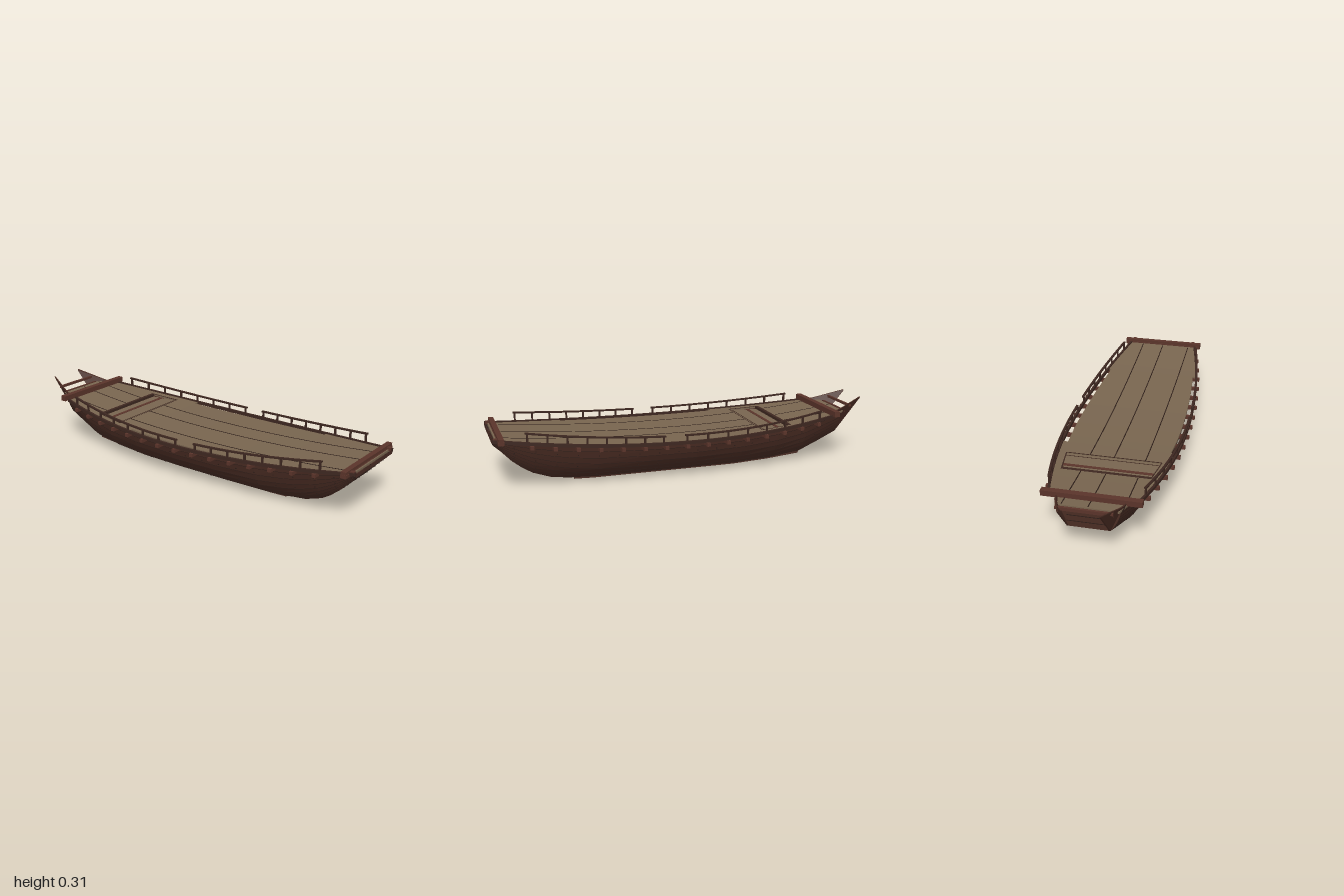
import * as THREE from 'three';
import { mergeGeometries } from 'three/addons/utils/BufferGeometryUtils.js';

const mat = (name, color) => {
  const m = new THREE.MeshStandardMaterial({ color, side: THREE.DoubleSide });
  m.name = name;
  return m;
};

// Curves of the ship along z
const sheer = (z) => 0.2 + (z > 0 ? 0.055 : 0.07) * z * z;
const hullHalf = (z) => 0.275 - (z > 0 ? 0.09 : 0.17) * z * z;
const railHalf = (z) => 0.305 - (z > 0 ? 0.12 : 0.165) * z * z;

// Bottom stations: z, half width, height
const stations = [
  [1, 0.18, 0.235], [0.96, 0.168, 0.195], [0.91, 0.155, 0.14], [0.86, 0.142, 0.098],
  [0.81, 0.132, 0.065], [0.715, 0.118, 0.028], [0.62, 0.11, 0.014], [0.5, 0.107, 0.01],
  [0.25, 0.107, 0.01], [0, 0.107, 0.01], [-0.25, 0.107, 0.01], [-0.45, 0.107, 0.02],
  [-0.63, 0.105, 0.036], [-0.75, 0.102, 0.085], [-0.85, 0.1, 0.13],
];
const stationZ = stations.map((s) => s[0]);
function bottom(z) {
  let i = 0;
  while (i < stations.length - 2 && stations[i + 1][0] > z) i++;
  const [a, b] = [stations[i], stations[i + 1]];
  const t = (a[0] - z) / (a[0] - b[0]);
  return [a[1] + (b[1] - a[1]) * t, a[2] + (b[2] - a[2]) * t];
}

// Point on the left hull side, t from 0 (bottom) to 1 (top)
function hullPoint(z, t) {
  const [b, yb] = bottom(z);
  const w = hullHalf(z), yt = sheer(z) - 0.002;
  const k = 0.85 - 1.3 * Math.max(0, Math.abs(z) - 0.5);
  const a = t * Math.PI / 2;
  const fx = k * Math.sin(a) + (1 - k) * t, fy = k * (1 - Math.cos(a)) + (1 - k) * t;
  return [b + (w - b) * fx, yb + (yt - yb) * fy];
}

const range = (a, b, n) => Array.from({ length: n + 1 }, (_, i) => a + (b - a) * i / n);

// Skin through rings of [x, y] at falling z; rings run anticlockwise seen from +z
function loft(zs, ring, closed = true) {
  const pos = [], idx = [];
  const rings = zs.map(ring), n = rings[0].length;
  rings.forEach((r, i) => r.forEach(([x, y]) => pos.push(x, y, zs[i])));
  for (let i = 0; i < zs.length - 1; i++)
    for (let j = 0; j < (closed ? n : n - 1); j++) {
      const a = i * n + j, b = i * n + (j + 1) % n;
      idx.push(a, a + n, b + n, a, b + n, b);
    }
  const e = (zs.length - 1) * n;
  for (let j = 1; j < n - 1; j++) idx.push(0, j, j + 1, e, e + j + 1, e + j);
  const g = new THREE.BufferGeometry();
  g.setAttribute('position', new THREE.Float32BufferAttribute(pos, 3));
  g.setIndex(idx);
  const flat = g.toNonIndexed();
  flat.computeVertexNormals();
  return flat;
}
const rect = (x0, x1, y0, y1) => [[x0, y0], [x1, y0], [x1, y1], [x0, y1]];

// Rectangular bar following a path
const bar = (zs, path, w, h) => loft(zs, (z) => {
  const [x, y] = path(z);
  return rect(x - w / 2, x + w / 2, y - h / 2, y + h / 2);
});
const box = (w, h, d, x, y, z) => new THREE.BoxGeometry(w, h, d).toNonIndexed().translate(x, y, z);
const plain = (g) => { g.deleteAttribute('uv'); return g; };

export function createModel() {
  const model = new THREE.Group();
  const hullWood = mat('hull wood', 0x4a2c23);
  const beamWood = mat('beam wood', 0x5a342a);
  const railWood = mat('rail wood', 0x3d2720);
  const deckWood = mat('deck wood', 0x78654f);
  const seamDark = mat('dark seam', 0x2b1c17);
  const add = (name, material, ...geos) => {
    const mesh = new THREE.Mesh(mergeGeometries(geos.map(plain)), material);
    mesh.name = name;
    model.add(mesh);
  };

  // Hull shell with flat bottom, raked bow and stern panel
  const ts = range(0, 1, 8);
  add('hull', hullWood, loft(stationZ, (z) => {
    const left = ts.map((t) => hullPoint(z, t));
    return [...left.map(([x, y]) => [-x, y]).reverse(), ...left];
  }, false));

  // Bottom planks, slightly proud of the hull
  const planks = [];
  for (let i = 0; i < 8; i++)
    planks.push(loft([0.6, 0.5, 0.25, 0, -0.25, -0.45, -0.63], (z) => {
      const x = -0.107 + i * 0.02675, y = bottom(z)[1];
      return rect(x + 0.001, x + 0.0257, y - 0.01, y + 0.003);
    }));
  add('bottomPlanks', hullWood, ...planks);

  // Seams and pegs of the bow and side planking
  const seams = [], pegs = [];
  for (const f of [-0.75, -0.5, -0.25, 0, 0.25, 0.5, 0.75]) {
    seams.push(bar(stationZ.slice(0, 8), (z) => [f * bottom(z)[0], bottom(z)[1]], 0.002, 0.003));
    for (const z of [0.97, 0.935, 0.9, 0.87, 0.83]) {
      const [b, y] = bottom(z);
      pegs.push(box(0.004, 0.005, 0.005, (f + 0.125) * b, y, z));
    }
  }
  for (const s of [-1, 1]) {
    for (const t of ts.slice(1, 8))
      seams.push(bar(stationZ, (z) => [s * hullPoint(z, t)[0], hullPoint(z, t)[1]], 0.002, 0.002));
    for (const t of [0.3, 0.55, 0.8])
      for (const z of range(0.9, -0.7, 16)) {
        const [x, y] = hullPoint(z, t);
        pegs.push(box(0.006, 0.004, 0.005, s * x, y, z));
      }
  }
  for (const y of [0.16, 0.19, 0.22]) seams.push(box(0.2, 0.003, 0.003, 0, y, -0.85));
  add('plankSeams', seamDark, ...seams);
  add('pegs', seamDark, ...pegs);

  // Deck in pieces around the sunken floor
  const deckHalf = (z) => (z < -0.79 ? hullHalf(z) : z > 0.6 || z < -0.25 ? railHalf(z) - 0.006 : hullHalf(z));
  const deckRing = (z) => rect(-deckHalf(z), deckHalf(z), sheer(z) - 0.01, sheer(z));
  const well = [-0.36, -0.42, -0.48, -0.53];
  const wellHalf = (z) => 0.24 + (z + 0.36) * 0.13;
  add('deck', deckWood,
    loft([...range(0.985, 0.601, 6), ...range(0.6, -0.25, 12), -0.251, -0.36], deckRing),
    loft([-0.53, -0.6, -0.7, -0.79, -0.791, -0.87], deckRing),
    ...[-1, 1].map((s) => loft(well, (z) => {
      const xs = [s * wellHalf(z), s * deckHalf(z)].sort((a, b) => a - b);
      return rect(xs[0], xs[1], sheer(z) - 0.01, sheer(z));
    })));
  add('sunkenFloor', deckWood, loft(well, (z) => rect(-wellHalf(z), wellHalf(z), 0.195, 0.203)));
  add('sunkenFloorEdge', railWood,
    box(0.436, 0.014, 0.018, 0, 0.213, -0.522),
    box(0.48, 0.002, 0.004, 0, 0.2085, -0.36),
    box(0.476, 0.002, 0.004, 0, 0.203, -0.38),
    ...[-1, 1].map((s) => bar(well, (z) => [s * wellHalf(z), sheer(z)], 0.005, 0.002)));

  // Long deck seams
  const deckSeams = [];
  for (const x of [-0.158, -0.002, 0.12])
    for (const [a, b] of [[0.94, -0.36], [-0.535, -0.86]])
      deckSeams.push(bar(range(a, b, 14), (z) => [x, sheer(z)], 0.005, 0.002));
  add('deckSeams', seamDark, ...deckSeams);

  // Beams through the hull and the railings standing on them
  const beams = [], sills = [], rails = [], posts = [];
  const beamZ = range(0.82, -0.68, 14);
  for (const z of beamZ) {
    const w = railHalf(z) + 0.018;
    beams.push(box(2 * w, 0.018, 0.018, 0, sheer(z) - 0.019, z));
  }
  const railTop = (z) => sheer(z) + 0.036 + 0.018 * z * z;
  for (const s of [-1, 1]) {
    sills.push(bar(range(1, -0.78, 20), (z) => [s * railHalf(z), sheer(z) - 0.002], 0.012, 0.016));
    for (const [a, b] of [[0.85, 0.18], [0.08, -0.7]]) {
      rails.push(bar(range(a, b, 10), (z) => [s * (railHalf(z) + 0.001), railTop(z)], 0.012, 0.008));
      for (const z of range(a - 0.01, b + 0.01, 7)) {
        const y0 = sheer(z), y1 = railTop(z);
        posts.push(box(0.009, y1 - y0, 0.009, s * railHalf(z), (y0 + y1) / 2, z));
      }
    }
  }
  add('throughBeams', beamWood, ...beams);
  add('railSills', railWood, ...sills);
  add('handRails', railWood, ...rails);
  add('railPosts', railWood, ...posts);

  // Heavy cross beams at bow and stern
  add('bowBeam', beamWood,
    box(0.46, 0.014, 0.026, 0, 0.263, 0.962), box(0.46, 0.016, 0.03, 0, 0.247, 0.962),
    ...[-1, 1].map((s) => box(0.018, 0.016, 0.03, s * 0.183, 0.256, 0.98)));
  add('sternBeam', beamWood, box(0.47, 0.028, 0.03, 0, 0.256, -0.79));

  // Stern wings running out past the stern panel
  const wings = [-1, 1].map((s) => loft([-0.78, -0.85, -1], (z) => {
    const t = Math.max(0, (-0.85 - z) / 0.15), top = z > -0.8 ? 0.25 : 0.264;
    const lowY = z > -0.8 ? 0.235 : 0.13 + 0.175 * t;
    const topY = top + (0.31 - top) * t;
    const topX = (z > -0.8 ? 0.17 : 0.154) * (1 - t) + 0.098 * t;
    const lowX = (z > -0.8 ? 0.165 : 0.101) * (1 - t) + 0.097 * t;
    const r = [[lowX - 0.008, lowY], [lowX, lowY], [topX, topY], [topX - 0.008, topY]];
    return s > 0 ? r : r.map(([x, y]) => [-x, y]).reverse();
  }));
  add('sternWings', hullWood, ...wings);
  add('sternCrossBars', beamWood,
    box(0.262, 0.012, 0.012, 0, 0.272, -0.92), box(0.25, 0.012, 0.01, 0, 0.245, -0.89));

  return model;
}
